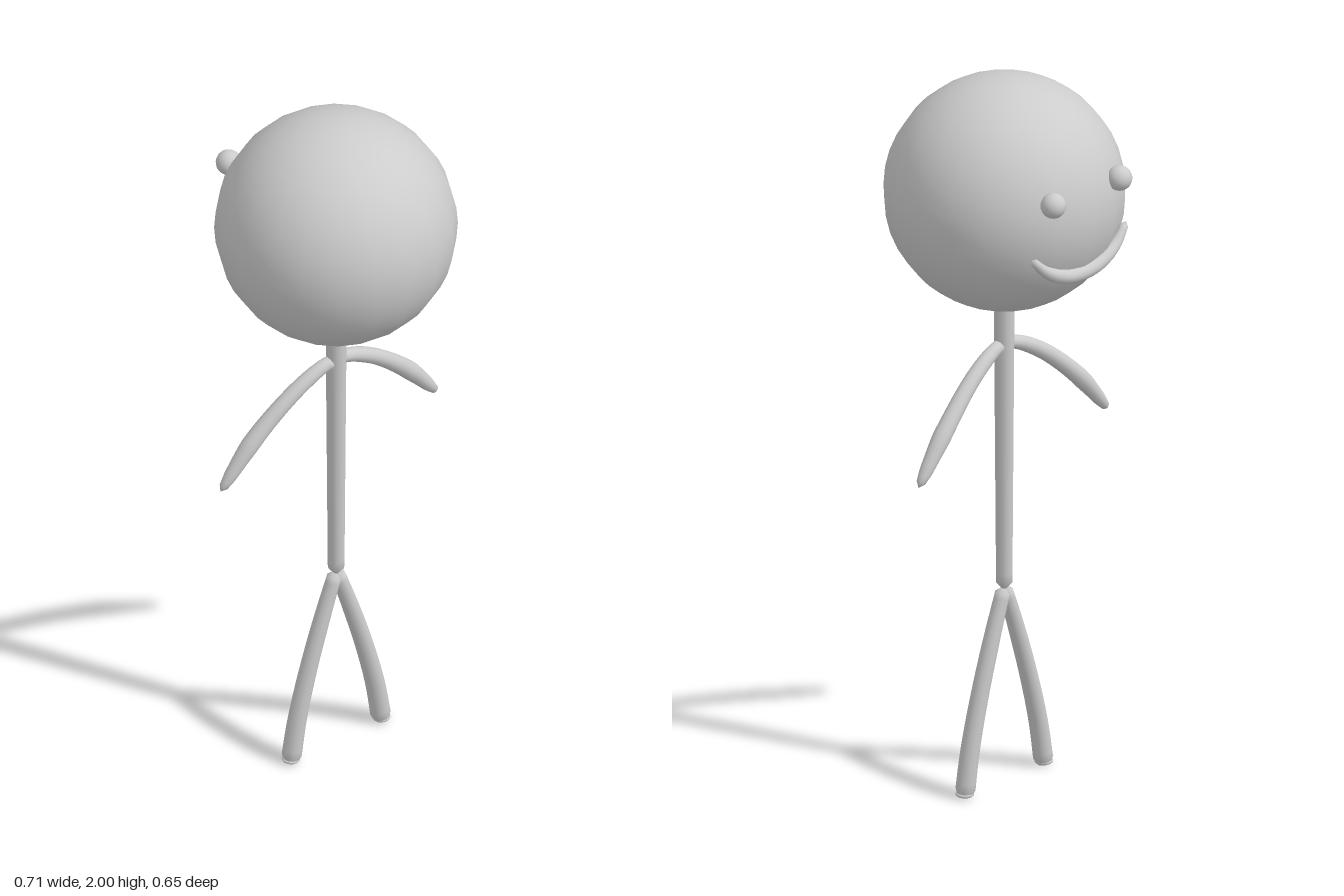
import * as THREE from 'three';
import { mergeVertices } from 'three/addons/utils/BufferGeometryUtils.js';

// Closed tube along a smooth path; stops are [t, radius] pairs from t = 0 to 1.
function taperedTube(points, stops, segments = 32, sides = 12) {
  const curve = new THREE.CatmullRomCurve3(points.map(p => new THREE.Vector3(...p)));
  const geo = new THREE.TubeGeometry(curve, segments, 1, sides, false);
  const pos = geo.attributes.position;
  const v = new THREE.Vector3();
  const radiusAt = t => {
    let k = 1;
    while (k < stops.length - 1 && stops[k][0] < t) k++;
    const [t0, r0] = stops[k - 1], [t1, r1] = stops[k];
    return THREE.MathUtils.lerp(r0, r1, (t - t0) / (t1 - t0));
  };
  for (let i = 0; i <= segments; i++) {
    const centre = curve.getPointAt(i / segments);
    const r = radiusAt(i / segments);
    for (let j = 0; j <= sides; j++) {
      const n = i * (sides + 1) + j;
      v.fromBufferAttribute(pos, n).sub(centre).multiplyScalar(r).add(centre);
      pos.setXYZ(n, v.x, v.y, v.z);
    }
  }
  geo.deleteAttribute('uv');
  geo.deleteAttribute('normal');
  const merged = mergeVertices(geo, 1e-5);
  merged.computeVertexNormals();
  return merged;
}

export function createModel() {
  const model = new THREE.Group();
  const grey = new THREE.MeshStandardMaterial({ color: 0xcccccc });
  grey.name = 'plain grey';

  const add = (name, geometry, x = 0, y = 0, z = 0) => {
    const mesh = new THREE.Mesh(geometry, grey);
    mesh.name = name;
    mesh.position.set(x, y, z);
    model.add(mesh);
    return mesh;
  };

  // Head, with the face towards -z
  add('head', new THREE.SphereGeometry(0.3185, 20, 20), 0, 1.6835, 0.0035).scale.y = 0.994;

  // Smile following the face
  add('mouth', taperedTube(
    [[-0.178, 1.622, -0.266], [-0.13, 1.575, -0.274], [-0.065, 1.545, -0.279], [0, 1.537, -0.28],
      [0.065, 1.545, -0.279], [0.13, 1.575, -0.274], [0.178, 1.622, -0.266]],
    [[0, 0], [0.03, 0.011], [0.25, 0.019], [0.5, 0.021], [0.75, 0.019], [0.97, 0.011], [1, 0]]));

  // Neck and torso in one narrowing stick
  add('body', taperedTube(
    [[0, 0.54, 0.004], [0, 0.9, 0.004], [0, 1.42, 0.004]],
    [[0, 0], [0.03, 0.022], [0.5, 0.025], [0.8, 0.027], [0.97, 0.027], [1, 0]]));

  for (const [side, s] of [['left', 1], ['right', -1]]) {
    add(side + 'Eye', new THREE.SphereGeometry(0.034, 16, 12), s * 0.125, 1.77, -0.293);

    add(side + 'Arm', taperedTube(
      [[0, 1.247, 0.005], [s * 0.04, 1.24, 0.002], [s * 0.13, 1.19, -0.007],
        [s * 0.25, 1.085, -0.021], [s * 0.357, 0.958, -0.028]],
      [[0, 0], [0.03, 0.018], [0.2, 0.021], [0.7, 0.025], [0.9, 0.018], [0.97, 0.012], [1, 0]]));

    add(side + 'Leg', taperedTube(
      [[0, 0.555, 0.004], [s * 0.04, 0.44, 0.004], [s * 0.09, 0.28, 0.004],
        [s * 0.128, 0.13, 0.004], [s * 0.149, 0.005, 0.004]],
      [[0, 0], [0.03, 0.02], [0.3, 0.023], [0.969, 0.027], [1, 0.02]]));

    // Rounded sole closing the leg
    const foot = add(side + 'Foot', new THREE.SphereGeometry(0.025, 12, 8), s * 0.149, 0.009, 0.004);
    foot.scale.y = 0.36;
  }
  return model;
}
